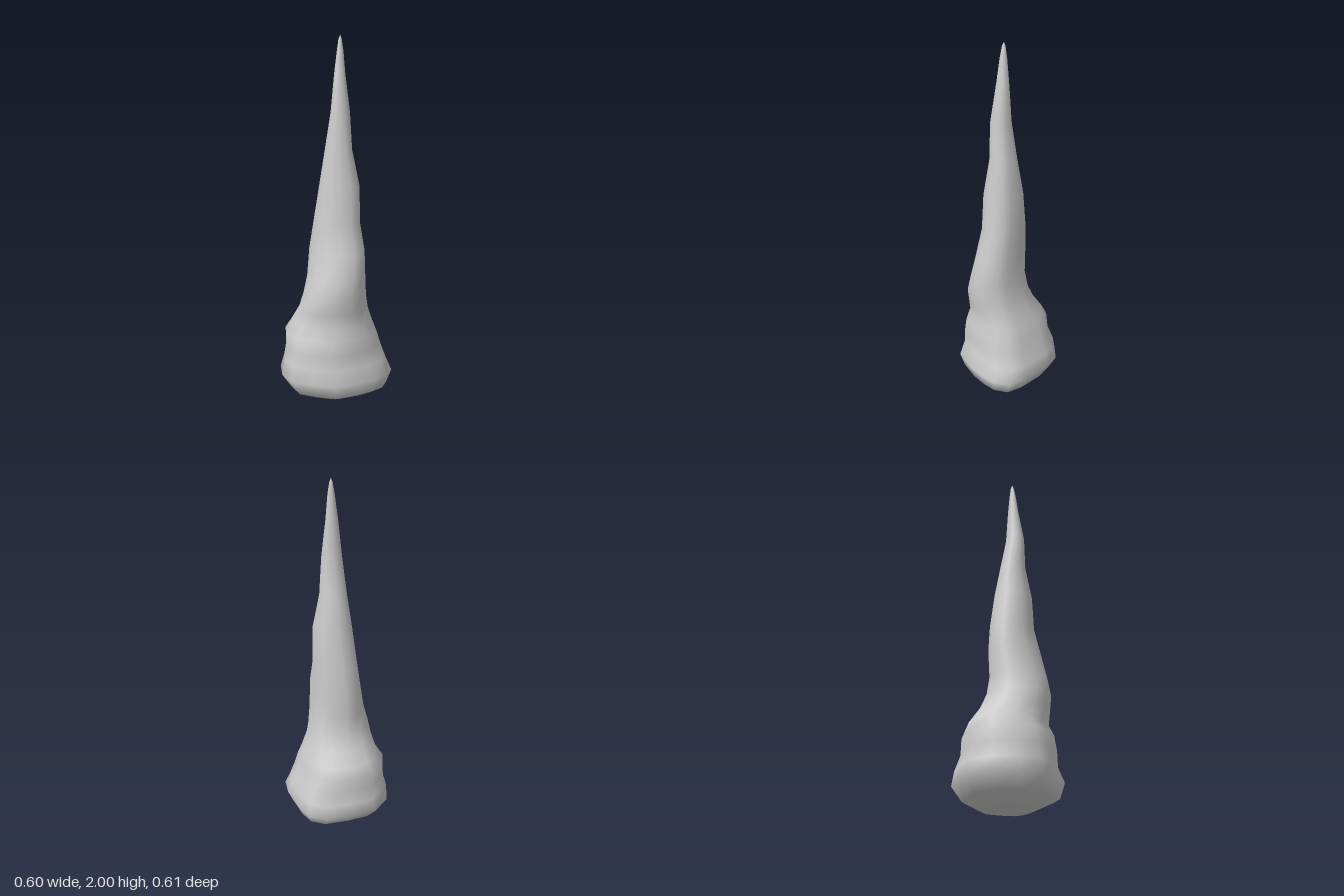
import * as THREE from 'three';

// Outline of the swollen foot, seen from above, clockwise from the back (x, z)
const foot = [
  [-0.01, -0.31], [0.12, -0.25], [0.25, -0.17], [0.30, -0.08], [0.29, 0.02],
  [0.235, 0.19], [0.18, 0.28], [0.09, 0.305], [0, 0.285], [-0.10, 0.245],
  [-0.22, 0.17], [-0.265, 0.05], [-0.30, -0.07], [-0.245, -0.18], [-0.14, -0.28],
];

// Cross-sections from foot to tip: y, xMin, xMax, zMin, zMax
const rings = [
  [0.015, -0.14, 0.15, -0.12, 0.14],
  [0.07, -0.26, 0.26, -0.24, 0.28],
  [0.145, -0.30, 0.30, -0.305, 0.305],
  [0.22, -0.275, 0.285, -0.285, 0.265],
  [0.30, -0.27, 0.25, -0.265, 0.25],
  [0.38, -0.255, 0.23, -0.275, 0.235],
  [0.44, -0.215, 0.205, -0.24, 0.215],
  [0.52, -0.212, 0.165, -0.18, 0.205],
  [0.60, -0.21, 0.14, -0.145, 0.205],
  [0.70, -0.18, 0.12, -0.13, 0.205],
  [0.85, -0.14, 0.115, -0.135, 0.195],
  [1.00, -0.115, 0.115, -0.115, 0.155],
  [1.20, -0.10, 0.11, -0.08, 0.148],
  [1.40, -0.07, 0.075, -0.045, 0.105],
  [1.60, -0.06, 0.055, -0.005, 0.095],
  [1.80, -0.03, 0.038, 0.008, 0.065],
  [1.92, -0.012, 0.028, 0.02, 0.053],
  [1.98, 0.0, 0.019, 0.027, 0.043],
];

function spikeGeometry() {
  const n = foot.length;
  const positions = [];
  const index = [];

  // The angular foot outline fades to a round section up the shaft
  for (const [y, x0, x1, z0, z1] of rings) {
    const round = THREE.MathUtils.smoothstep(y, 0.2, 0.65);
    for (const [fx, fz] of foot) {
      const angle = Math.atan2(fz, fx);
      const u = THREE.MathUtils.lerp(fx / 0.30, Math.cos(angle), round);
      const v = THREE.MathUtils.lerp(fz / 0.308, Math.sin(angle), round);
      positions.push((x0 + x1) / 2 + u * (x1 - x0) / 2, y, (z0 + z1) / 2 + v * (z1 - z0) / 2);
    }
  }

  // Skin between neighbouring sections
  for (let i = 0; i < rings.length - 1; i++) {
    for (let j = 0; j < n; j++) {
      const a = i * n + j, b = i * n + (j + 1) % n;
      index.push(a, a + n, b, b, a + n, b + n);
    }
  }

  // Close the underside and the pointed tip
  const bottom = positions.length / 3, tip = bottom + 1, last = (rings.length - 1) * n;
  positions.push(-0.01, 0, 0.03, 0.01, 2, 0.035);
  for (let j = 0; j < n; j++) {
    const k = (j + 1) % n;
    index.push(bottom, j, k, last + j, tip, last + k);
  }

  const geometry = new THREE.BufferGeometry();
  geometry.setAttribute('position', new THREE.Float32BufferAttribute(positions, 3));
  geometry.setIndex(index);
  geometry.computeVertexNormals();
  return geometry;
}

export function createModel() {
  const group = new THREE.Group();
  group.name = 'stalagmite';
  const spike = new THREE.Mesh(spikeGeometry(), new THREE.MeshStandardMaterial({ color: 0xcccccc }));
  spike.name = 'spike';
  group.add(spike);
  return group;
}
